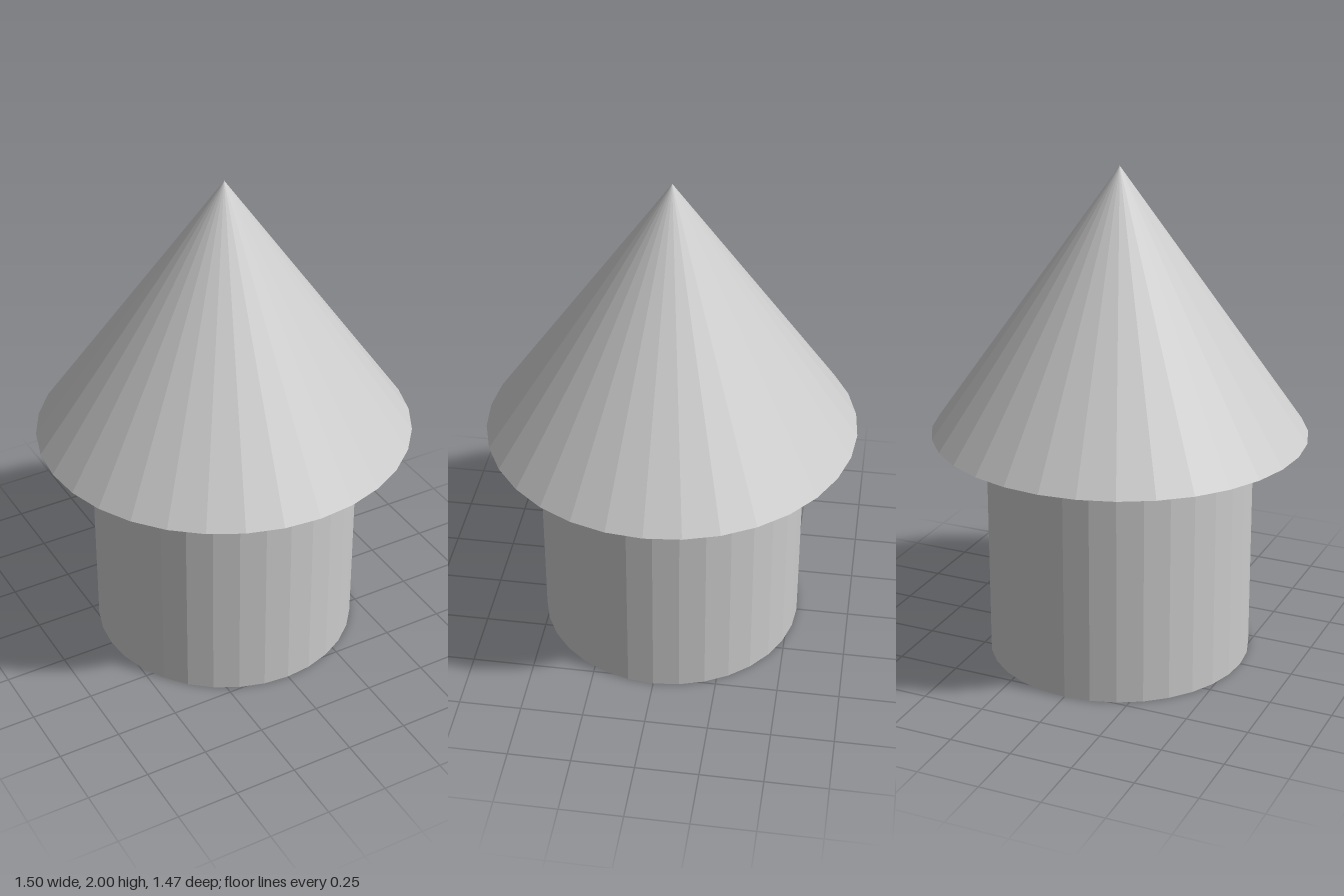
import * as THREE from 'three';

const SIDES = 32;
const EAVES = 0.935; // height where the roof meets the wall
const HEIGHT = 2;

export function createModel() {
  const model = new THREE.Group();
  model.name = 'roundTower';
  const material = new THREE.MeshStandardMaterial({ color: 0xcccccc, flatShading: true });

  // Round wall
  const wall = new THREE.Mesh(new THREE.CylinderGeometry(0.533, 0.533, EAVES, SIDES), material);
  wall.name = 'wall';
  wall.position.y = EAVES / 2;

  // Overhanging conical roof, slightly narrower from front to back
  const roof = new THREE.Mesh(new THREE.ConeGeometry(0.75, HEIGHT - EAVES, SIDES), material);
  roof.name = 'roof';
  roof.position.y = (EAVES + HEIGHT) / 2;
  roof.scale.z = 0.983;

  model.add(wall, roof);
  return model;
}
